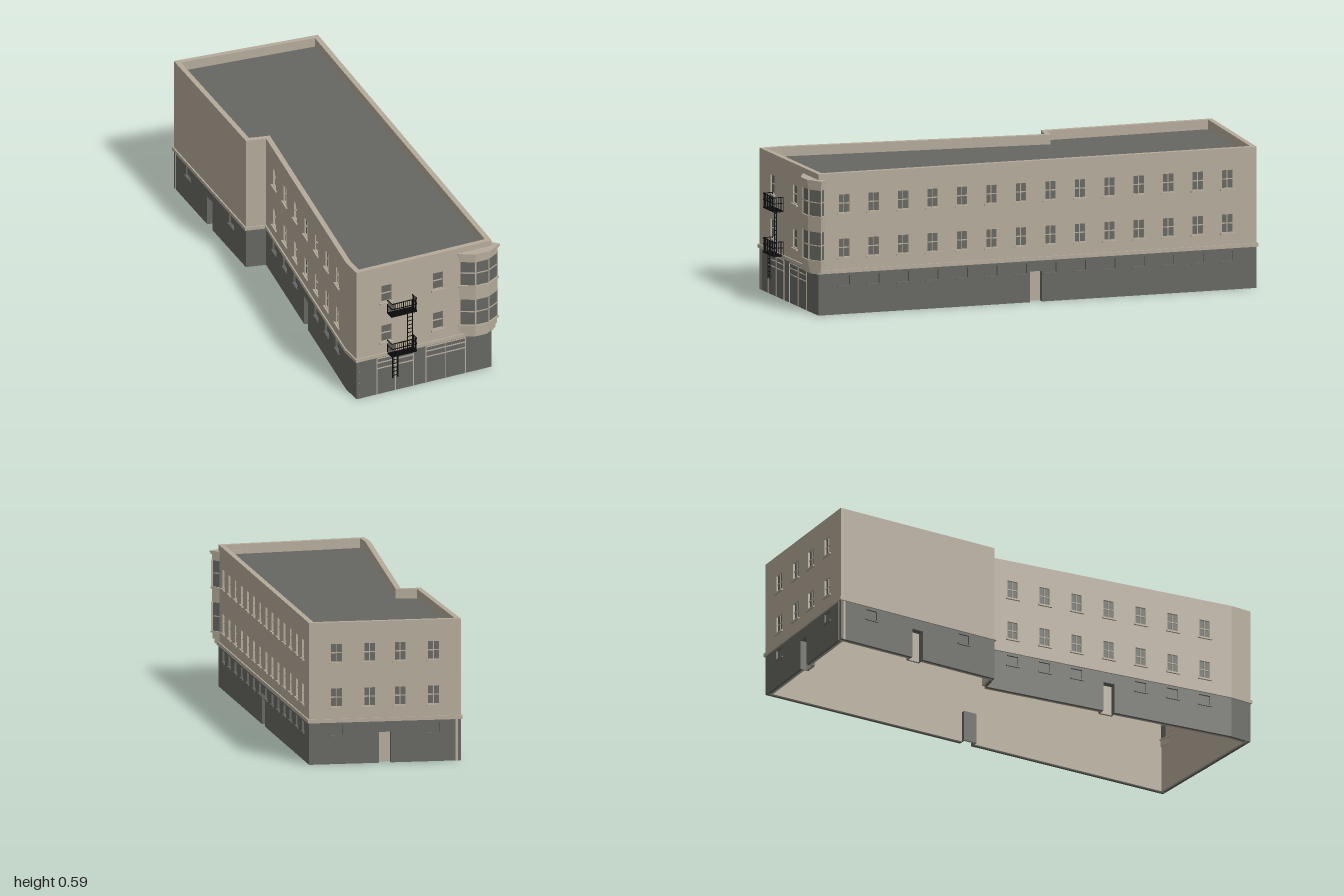
import * as THREE from 'three';
import { mergeGeometries } from 'three/addons/utils/BufferGeometryUtils.js';

const mat = (name, color) => {
  const m = new THREE.MeshStandardMaterial({ color });
  m.name = name;
  return m;
};

// Footprint corners [x, z], front left round to the short left return
const FOOT = [[-0.39, 0.955], [0.23, 0.955], [0.383, -0.93], [-0.245, -0.996],
  [-0.288, -0.255], [-0.205, -0.235], [-0.39, 0.86]];
const BAY = [[0.08, 0.955], [0.14, 0.988], [0.2, 0.988], [0.257, 0.955], [0.23, 0.925], [0.08, 0.94]];

// Push every side of a plan outward by d
function offset(pts, d) {
  const n = pts.length;
  const normal = (i) => {
    const [a, b] = [pts[i % n], pts[(i + 1) % n]];
    const l = Math.hypot(b[0] - a[0], b[1] - a[1]);
    return [-(b[1] - a[1]) / l, (b[0] - a[0]) / l];
  };
  return pts.map((p, i) => {
    const [u, v] = [normal(i + n - 1), normal(i)];
    const k = d / (1 + u[0] * v[0] + u[1] * v[1]);
    return [p[0] + (u[0] + v[0]) * k, p[1] + (u[1] + v[1]) * k];
  });
}

// Upright prism from a plan, optionally hollow
function prism(plan, y0, y1, hole) {
  const vec = (pts) => pts.map(([x, z]) => new THREE.Vector2(x, -z));
  const shape = new THREE.Shape(vec(plan));
  if (hole) shape.holes.push(new THREE.Path(vec(hole)));
  const g = new THREE.ExtrudeGeometry(shape, { depth: y1 - y0, bevelEnabled: false });
  return g.rotateX(-Math.PI / 2).translate(0, y0, 0);
}

// Unindexed, so boxes and extrusions can be merged together
const box = (x, y, z, w, h, d) => new THREE.BoxGeometry(w, h, d).toNonIndexed().translate(x, y, z);

// Wall slab in its own plane with window holes and door notches
function slab(len, y0, y1, z0, z1, holes, doors) {
  const s = new THREE.Shape();
  s.moveTo(0, y0);
  for (const [c, w, h] of doors) {
    s.lineTo(c - w / 2, y0);
    s.lineTo(c - w / 2, h);
    s.lineTo(c + w / 2, h);
    s.lineTo(c + w / 2, y0);
  }
  s.lineTo(len, y0);
  s.lineTo(len, y1);
  s.lineTo(0, y1);
  for (const [c, w, a, b] of holes) {
    s.holes.push(new THREE.Path([[c - w / 2, a], [c - w / 2, b], [c + w / 2, b], [c + w / 2, a]]
      .map(([x, y]) => new THREE.Vector2(x, y))));
  }
  return new THREE.ExtrudeGeometry(s, { depth: z1 - z0, bevelEnabled: false }).translate(0, 0, z0);
}

export function createModel() {
  const root = new THREE.Group();
  root.name = 'cornerBuilding';
  const stone = mat('beige stone', 0xb5ab9b);
  const grey = mat('dark grey', 0x666762);
  const black = mat('black iron', 0x0a0a0a);
  const add = (parent, name, geos, m) => {
    if (!geos.length) return;
    const mesh = new THREE.Mesh(mergeGeometries(geos), m);
    mesh.name = name;
    parent.add(mesh);
  };

  // Walls: t positions of upper windows, ground windows and doors along each side
  const row = (n, start, step) => Array.from({ length: n }, (_, i) => start + i * step);
  const rightRow = row(14, 0.0585, 0.0673);
  const leftRow = row(7, 0.105, 0.131);
  const sides = [
    { name: 'front', upper: [0.221, 0.602], low: [], doors: [], plain: true },
    { name: 'right', upper: rightRow, low: rightRow, doors: [0.497] },
    { name: 'back', upper: [0.18, 0.4, 0.6, 0.82], low: [0.18, 0.82], doors: [0.5] },
    { name: 'rearLeft', upper: [], low: [0.2, 0.8], doors: [0.5] },
    { name: 'notch', upper: [], low: [], doors: [] },
    { name: 'left', upper: leftRow, low: leftRow.filter((_, i) => i !== 3), doors: [0.5] },
    { name: 'frontLeftReturn', upper: [], low: [], doors: [] },
  ];
  sides.forEach((side, i) => {
    const a = FOOT[i];
    const b = FOOT[(i + 1) % FOOT.length];
    const len = Math.hypot(b[0] - a[0], b[1] - a[1]);
    const g = new THREE.Group();
    g.name = side.name + 'Wall';
    g.position.set(a[0], 0, a[1]);
    g.rotation.y = Math.atan2(-(b[1] - a[1]), b[0] - a[0]);
    root.add(g);

    const upper = side.upper.flatMap((t) => [[t * len, 0.045, 0.24, 0.315], [t * len, 0.045, 0.425, 0.5]]);
    const low = side.low.map((t) => [t * len, 0.05, 0.12, 0.162]);
    const doors = side.doors.map((t) => [t * len, 0.055, 0.13]);
    add(g, 'groundWall', [slab(len, 0, 0.175, -0.012, 0, low, doors)], grey);
    add(g, 'upperWall', [slab(len, 0.175, 0.585, -0.012, 0, upper, [])], stone);
    add(g, 'innerWall', [slab(len, 0, 0.175, -0.022, -0.012, [], doors)], stone);

    // Recessed windows with rails and sills
    add(g, 'windowGlass', [...upper, ...low].map(([c, w, p, q]) =>
      box(c, (p + q) / 2, -0.01, w, q - p, 0.004)), grey);
    add(g, 'windowBars', upper.flatMap(([c, w, p, q]) => {
      const bars = [box(c, (p + q) / 2, -0.006, w, 0.004, 0.004)];
      if (!side.plain) bars.push(box(c, (p + q) / 2, -0.006, 0.004, q - p, 0.004));
      return bars;
    }), stone);
    add(g, 'windowSills', upper.map(([c, w, p]) => box(c, p - 0.006, 0.002, w + 0.017, 0.007, 0.012)), stone);
    add(g, 'lowWindowSills', low.map(([c, w, p]) => box(c, p - 0.004, 0.001, w + 0.01, 0.006, 0.01)), grey);

    // Doors set back in a deep grey lining
    add(g, 'door', doors.map(([c, w, h]) => box(c, h / 2, -0.032, w, h, 0.004)), stone);
    add(g, 'doorLining', doors.flatMap(([c, w, h]) => [
      box(c - w / 2, h / 2, -0.02, 0.004, h, 0.038),
      box(c + w / 2, h / 2, -0.02, 0.004, h, 0.038),
      box(c, h, -0.02, w + 0.004, 0.004, 0.038),
      box(c, h / 2, -0.037, w + 0.004, h, 0.004)]), grey);
  });

  // Rings that run round the building, and the sunken roof
  const ring = (name, d0, d1, y0, y1) =>
    add(root, name, [prism(offset(FOOT, d0), y0, y1, offset(FOOT, d1))], stone);
  ring('innerLining', -0.012, -0.022, 0.175, 0.585);
  ring('coping', 0, -0.022, 0.585, 0.59);
  ring('cornice', 0.006, -0.01, 0.173, 0.188);
  add(root, 'roof', [prism(offset(FOOT, -0.02), 0.545, 0.55)], grey);

  // Framed shutters on the front ground floor
  for (const [x0, x1] of [[-0.297, -0.13], [-0.073, 0.108]]) {
    const bars = [];
    const z = 0.956;
    for (const x of [x0, (x0 + x1) / 2, x1]) bars.push(box(x, 0.083, z, 0.004, 0.166, 0.004));
    for (const y of [0.166, 0.146, 0.12]) bars.push(box((x0 + x1) / 2, y, z, x1 - x0, 0.004, 0.004));
    add(root, 'shutterFrame', bars, stone);
  }

  // Two-storey bay: stacked stone bands with glazing between
  const bay = new THREE.Group();
  bay.name = 'bayWindow';
  root.add(bay);
  const bands = [[0.172, 0.18, -0.012], [0.18, 0.2, -0.006], [0.2, 0.225, -0.001], [0.225, 0.232, 0.004],
    [0.355, 0.408, 0], [0.408, 0.416, 0.004], [0.53, 0.552, 0], [0.552, 0.559, 0.004], [0.559, 0.566, 0.007]];
  add(bay, 'bayStone', bands.map(([y0, y1, d]) => prism(offset(BAY, d), y0, y1)), stone);
  for (const [y0, y1] of [[0.232, 0.355], [0.416, 0.53]]) {
    const mid = (y0 + y1) / 2;
    add(bay, 'bayGlass', [prism(offset(BAY, -0.003), y0, y1)], grey);
    add(bay, 'bayBars', [
      prism(BAY, mid - 0.002, mid + 0.002),
      prism(BAY, y1 - 0.005, y1),
      ...BAY.slice(0, 4).map(([x, z]) => box(x, mid, z - 0.002, 0.005, y1 - y0, 0.005)),
    ], stone);
  }

  // Fire escape: two railed platforms and two ladders
  const escape = new THREE.Group();
  escape.name = 'fireEscape';
  root.add(escape);
  const [X0, X1, Z0, Z1] = [-0.249, -0.135, 0.957, 0.998];
  const XM = (X0 + X1) / 2;
  const ZM = (Z0 + Z1) / 2;
  for (const y of [0.184, 0.37]) {
    const bars = [];
    for (let i = 0; i < 8; i++) bars.push(box(XM, y, Z0 + i * (Z1 - Z0) / 7, X1 - X0, 0.004, 0.0025));
    for (let i = 0; i < 4; i++) bars.push(box(X0 + i * (X1 - X0) / 3, y, ZM, 0.003, 0.005, Z1 - Z0));
    for (const h of [0.034, 0.059]) {
      bars.push(box(XM, y + h, Z1, X1 - X0, 0.003, 0.003));
      for (const x of [X0, X1]) bars.push(box(x, y + h, ZM, 0.003, 0.003, Z1 - Z0));
    }
    for (let i = 0; i <= 13; i++) bars.push(box(X0 + i * (X1 - X0) / 13, y + 0.03, Z1, 0.002, 0.06, 0.002));
    for (const x of [X0, X1])
      for (let i = 0; i < 4; i++) bars.push(box(x, y + 0.03, Z0 + i * (Z1 - Z0) / 4, 0.002, 0.06, 0.002));
    add(escape, 'platform', bars, black);
  }
  for (const [x, y0, y1] of [[-0.158, 0.186, 0.37], [-0.226, 0.075, 0.184]]) {
    const bars = [-1, 1].map((s) => box(x + s * 0.0115, (y0 + y1) / 2, 0.982, 0.003, y1 - y0, 0.004));
    for (let y = y0 + 0.012; y < y1; y += 0.018) bars.push(box(x, y, 0.982, 0.023, 0.0025, 0.0025));
    add(escape, 'ladder', bars, black);
  }
  return root;
}
